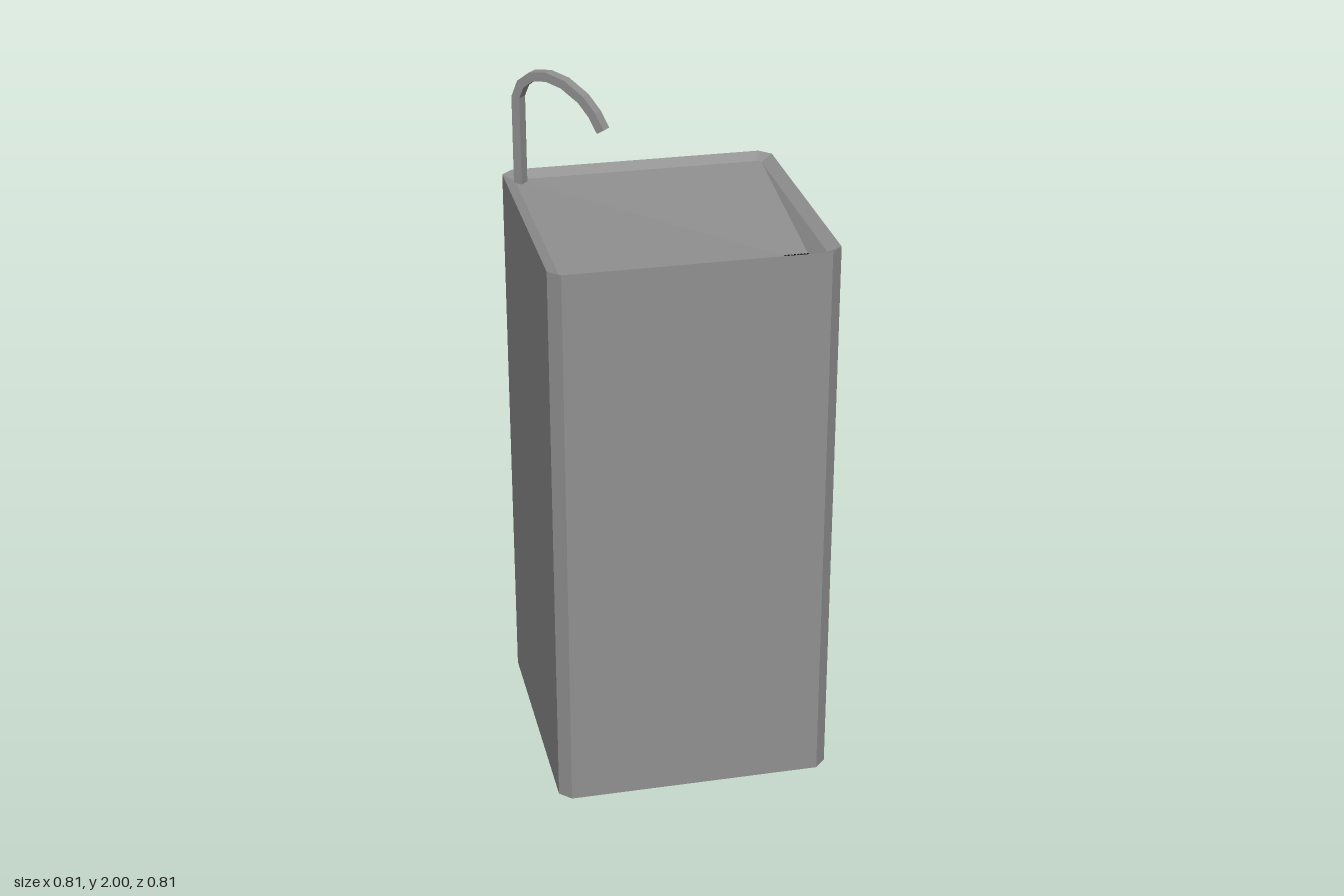
import * as THREE from 'three';

const steel = new THREE.MeshStandardMaterial({ color: 0x909090 });
steel.name = 'steel grey';
const dark = new THREE.MeshStandardMaterial({ color: 0x111111 });
dark.name = 'drain black';

const CORNERS = [[1, 1], [1, -1], [-1, -1], [-1, 1]];

// Square ring with cut corners, anticlockwise from above
function octagon(h, cut, y) {
  return CORNERS.flatMap(([sx, sz]) => {
    const a = [sx * (h - cut), y, sz * h];
    const b = [sx * h, y, sz * (h - cut)];
    return sx * sz > 0 ? [a, b] : [b, a];
  });
}

// Flat-faced skin through a list of rings
function loft(rings) {
  const pos = [];
  for (let r = 0; r < rings.length - 1; r++) {
    const lo = rings[r], hi = rings[r + 1], n = lo.length;
    for (let i = 0; i < n; i++) {
      const j = (i + 1) % n;
      pos.push(...lo[i], ...lo[j], ...hi[j], ...lo[i], ...hi[j], ...hi[i]);
    }
  }
  const geo = new THREE.BufferGeometry();
  geo.setAttribute('position', new THREE.Float32BufferAttribute(pos, 3));
  geo.computeVertexNormals();
  return geo;
}

function add(group, name, geo, mat, x = 0, y = 0, z = 0) {
  const mesh = new THREE.Mesh(geo, mat);
  mesh.name = name;
  mesh.position.set(x, y, z);
  group.add(mesh);
  return mesh;
}

export function createModel() {
  const model = new THREE.Group();
  model.name = 'drinkingFountain';

  // Pedestal: closed base, straight sides, bevelled rim
  const base = octagon(0.405, 0.033, 0);
  const rim = octagon(0.405, 0.033, 1.667);
  const lip = octagon(0.37, 0.012, 1.648);
  add(model, 'pedestal', loft([base.map(() => [0, 0, 0]), base, rim, lip]), steel);

  // Basin floor falls from the lip to the off-centre drain
  const dx = 0.307, dz = 0.301, dw = 0.034, dd = 0.029, dy = 1.61;
  const drainEdge = CORNERS.flatMap(([sx, sz]) => {
    const p = [dx + sx * dw, dy, dz + sz * dd];
    return [p, p];
  });
  add(model, 'basin', loft([lip, drainEdge]), steel);

  // Drain grate: plate with fine bars
  const drain = new THREE.Group();
  drain.name = 'drain';
  drain.position.set(dx, dy, dz);
  model.add(drain);
  add(drain, 'drainPlate', new THREE.BoxGeometry(dw * 2, 0.006, dd * 2), dark, 0, -0.002, 0);
  for (let i = 0; i < 8; i++) {
    add(drain, 'grateBar', new THREE.BoxGeometry(0.004, 0.003, dd * 2), dark,
      -dw + 0.002 + (i * (dw * 2 - 0.004)) / 7, 0.002, 0);
  }

  // Spout: square-section hook, outlined on both sides of its centre line
  const path = [[0, 1.62], [0, 1.91], [0.018, 1.952], [0.055, 1.98], [0.105, 1.987],
    [0.16, 1.975], [0.22, 1.94], [0.258, 1.9], [0.285, 1.856]]
    .map(([x, y]) => new THREE.Vector2(x, y));
  const half = 0.0135;
  const side = (s) => path.map((p, i) => {
    const t = path[Math.min(i + 1, path.length - 1)].clone().sub(path[Math.max(i - 1, 0)]).normalize();
    return new THREE.Vector2(p.x - t.y * half * s, p.y + t.x * half * s);
  });
  const outline = new THREE.Shape([...side(1), ...side(-1).reverse()]);
  const hook = new THREE.ExtrudeGeometry(outline, { depth: 0.03, bevelEnabled: false });
  hook.translate(0, 0, -0.015);
  const spout = add(model, 'spout', hook, steel, -0.355, 0, -0.35);
  spout.rotation.y = -0.75;

  return model;
}
